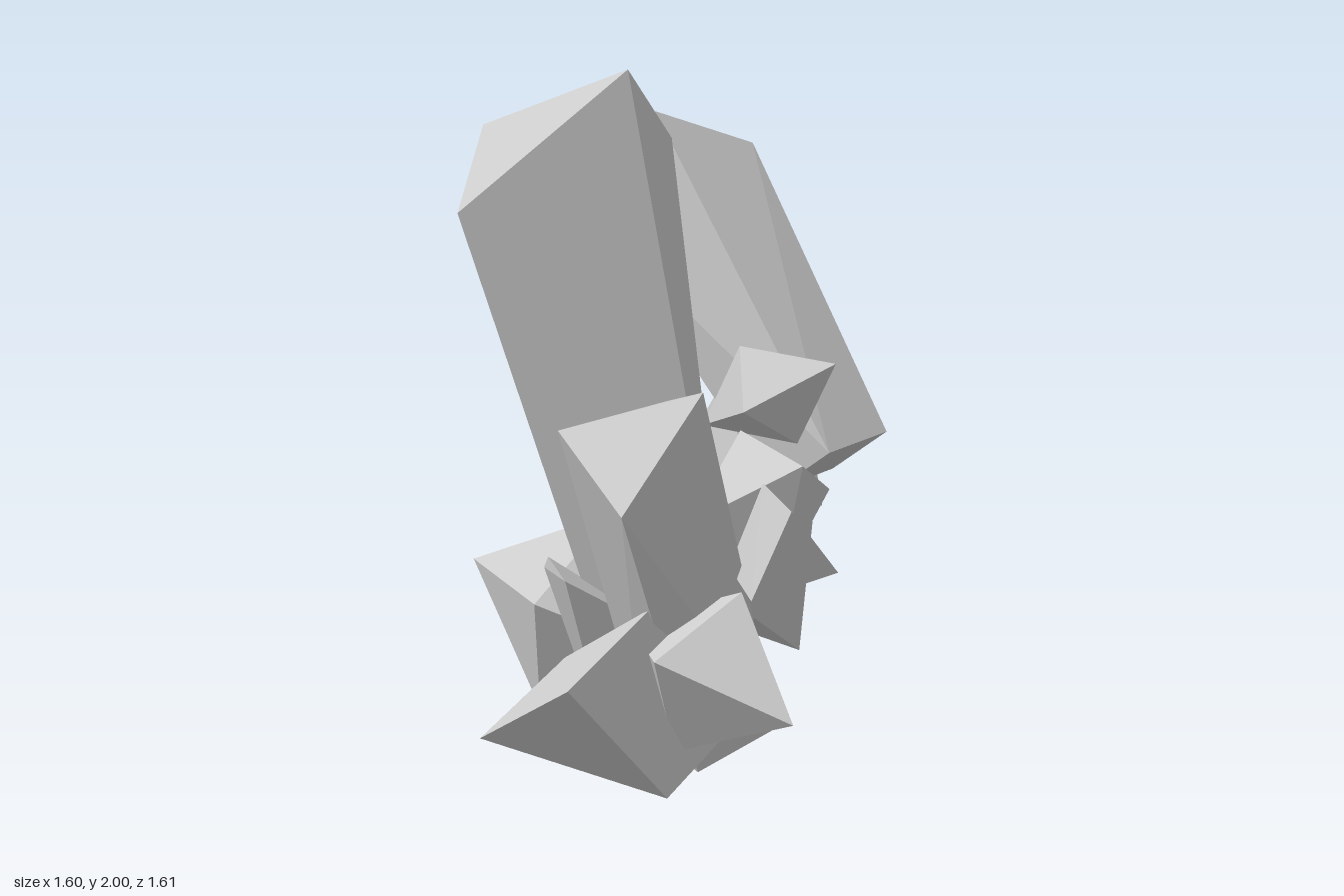
import * as THREE from 'three';
import { ConvexGeometry } from 'three/addons/geometries/ConvexGeometry.js';

const V = (p) => new THREE.Vector3(...p);

// Four-sided column: corners of the tip and of the base, in the same order
const column = (tip, base) => [...tip, ...base].map(V);

// Eight-faced shard: three corners, each mirrored through the centre
const shard = (centre, corners) => {
  const c = V(centre);
  return corners.flatMap((p) => [V(p), c.clone().multiplyScalar(2).sub(V(p))]);
};

// Irregular shard from its corners
const chunk = (...corners) => corners.map(V);

export function createModel() {
  const group = new THREE.Group();
  group.name = 'crystalCluster';
  const material = new THREE.MeshStandardMaterial({ color: 0xcccccc, flatShading: true });

  const crystals = {
    // long columns
    mainColumn: column(
      [[-0.19, 2, 0.04], [0.19, 1.76, -0.25], [-0.25, 1.8, -0.58], [-0.6, 1.61, -0.2]],
      [[0.08, 0.28, 0.18], [0.33, 0.3, -0.17], [0.03, 0.35, -0.39], [-0.22, 0.33, -0.04]]),
    leaningColumn: column(
      [[0.26, 1.82, -0.42], [0.58, 1.71, -0.35], [0.51, 1.58, -0.68], [0.185, 1.46, -0.59]],
      [[0.43, 0.86, 0.19], [0.7, 0.88, 0.14], [0.68, 0.73, -0.08], [0.41, 0.71, -0.03]]),
    frontColumn: column(
      [[-0.33, 1.19, 0.55], [-0.2, 1.1, 0.23], [-0.56, 1.06, 0.21], [-0.58, 0.88, 0.52]],
      [[0.08, 0.14, 0.38], [0.1, 0.2, 0.08], [-0.15, 0.1, 0.05], [-0.17, 0.045, 0.33]]),

    // eight-faced shards
    frontShard: shard([-0.255, 0.39, 0.48],
      [[-0.22, 0.31, 0.8], [-0.17, 0.61, 0.52], [-0.48, 0.47, 0.53]]),
    middleShard: shard([0.15, 0.745, 0.21],
      [[0.08, 0.92, 0.48], [0.38, 0.77, 0.25], [0.14, 0.54, 0.31]]),
    upperShard: shard([0.235, 1.05, 0.145],
      [[0.32, 1.16, 0.34], [0.08, 1.03, 0.22], [0.18, 1.19, 0.08]]),
    backShard: shard([-0.05, 0.335, -0.41],
      [[-0.15, 0.43, -0.81], [0.08, 0.62, -0.4], [0.19, 0.25, -0.53]]),

    // irregular shards around the base
    rightSideShard: chunk([-0.78, 0.45, 0.55], [-0.8, 0.23, 0.17], [-0.42, 0.07, 0.51],
      [-0.42, 0.59, 0.44], [-0.44, 0.37, 0.07], [-0.06, 0.21, 0.4]),
    smallFrontShard: chunk([-0.13, 0.86, 0.68], [-0.21, 0.61, 0.61], [0.1, 0.64, 0.61],
      [-0.03, 0.88, 0.44], [-0.1, 0.64, 0.38]),
    leftFrontShard: chunk([0.48, 0.69, 0.07], [0.14, 0.45, 0.05], [0.57, 0.17, -0.1],
      [0.53, 0.65, -0.31], [0.2, 0.41, -0.33], [0.42, 0.24, -0.33]),
    leftBackShard: chunk([0.8, 0.62, -0.44], [0.8, 0.21, -0.56], [0.45, 0.15, -0.34],
      [0.4, 0.49, -0.73], [0.49, 0.54, -0.28]),
    leftMiddleShard: chunk([0.74, 0.94, -0.29], [0.64, 0.62, -0.08], [0.35, 0.71, -0.45],
      [0.38, 0.99, -0.26], [0.31, 0.73, 0.02]),
    lowerShard: chunk([-0.46, 0.62, 0], [-0.46, 0.6, 0.1], [-0.24, 0, 0.03],
      [-0.2, 0.18, -0.1], [-0.36, 0.61, -0.12], [0.05, 0.3, 0.05]),
    coreShard: chunk([0.23, 0.2, -0.2], [0.05, 0.22, 0.1], [0.3, 0.32, -0.3],
      [0, 0.2, -0.2], [0.2, 0.45, 0]),
  };

  for (const [name, points] of Object.entries(crystals)) {
    const mesh = new THREE.Mesh(new ConvexGeometry(points), material);
    mesh.name = name;
    group.add(mesh);
  }
  return group;
}
